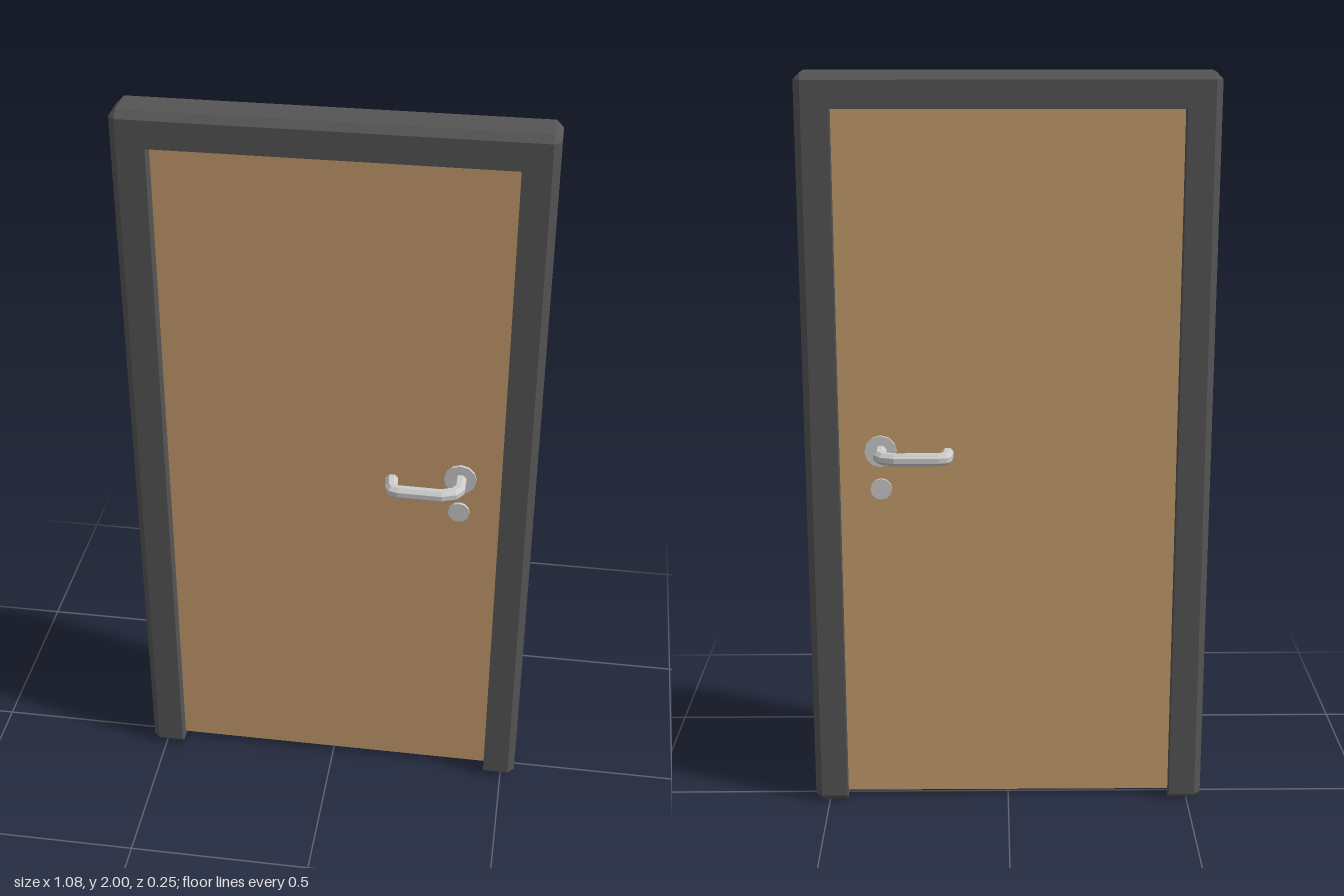
import * as THREE from 'three';

const material = (color) => new THREE.MeshStandardMaterial({ color, flatShading: true });

function addMesh(parent, name, geometry, mat) {
  const mesh = new THREE.Mesh(geometry, mat);
  mesh.name = name;
  parent.add(mesh);
  return mesh;
}

// Skin a series of rings (counter-clockwise about the direction of advance) and cap both ends
function loft(rings, capTriangles) {
  const out = [];
  const push = (...points) => points.forEach((p) => out.push(p.x, p.y, p.z));
  for (let j = 0; j < rings.length - 1; j++) {
    const low = rings[j], high = rings[j + 1], n = low.length;
    for (let i = 0; i < n; i++) {
      const k = (i + 1) % n;
      push(low[i], low[k], high[k], low[i], high[k], high[i]);
    }
  }
  const first = rings[0], last = rings[rings.length - 1];
  for (const [a, b, c] of capTriangles) {
    push(last[a], last[b], last[c]);
    push(first[a], first[c], first[b]);
  }
  const geometry = new THREE.BufferGeometry();
  geometry.setAttribute('position', new THREE.Float32BufferAttribute(out, 3));
  geometry.computeVertexNormals();
  return geometry;
}

// Door surround: an inverted U with chamfered outer edges and a sharp opening
function frameGeometry() {
  const w = 0.539, h = 2, d = 0.062, c = 0.018, inner = 0.45, head = 1.91;
  const outline = [
    [-inner, 0], [-inner, head], [inner, head], [inner, 0],
    [w - c, 0], [w, c], [w, h - c], [w - c, h],
    [c - w, h], [-w, h - c], [-w, c], [c - w, 0],
  ];
  const full = (z) => outline.map(([x, y]) => new THREE.Vector3(x, y, z));
  const inset = (z) => outline.map(([x, y]) => new THREE.Vector3(
    THREE.MathUtils.clamp(x, c - w, w - c), THREE.MathUtils.clamp(y, c, h - c), z));
  const caps = [[3, 4, 6], [3, 6, 2], [2, 6, 8], [2, 8, 1], [1, 8, 10], [1, 10, 0]];
  return loft([inset(-d), full(c - d), full(d - c), inset(d)], caps);
}

// Lever: eight-sided bar swept with mitred corners along a path in the x-z plane
function leverGeometry(path, radius, sides = 8) {
  const points = path.map(([x, z]) => new THREE.Vector3(x, 0, z));
  const up = new THREE.Vector3(0, 1, 0);
  const direction = (i) => points[i + 1].clone().sub(points[i]).normalize();
  const rings = points.map((p, i) => {
    const before = direction(Math.max(i - 1, 0));
    const after = direction(Math.min(i, points.length - 2));
    const tangent = before.clone().add(after).normalize();
    const side = up.clone().cross(tangent).divideScalar(tangent.dot(after));
    return Array.from({ length: sides }, (_, k) => {
      const a = ((k + 0.5) / sides) * Math.PI * 2;
      return p.clone()
        .addScaledVector(side, radius * Math.cos(a))
        .addScaledVector(up, radius * Math.sin(a));
    });
  });
  const caps = Array.from({ length: sides - 2 }, (_, k) => [0, k + 1, k + 2]);
  return loft(rings, caps);
}

export function createModel() {
  const model = new THREE.Group();
  model.name = 'door';
  const dark = material(0x555555);
  const wood = material(0xc69c6d);
  const metal = material(0xc0c0c0);

  const doorDepth = 0.04, face = doorDepth / 2, plate = 0.008;
  const handleX = 0.34, handleY = 1.01, lockY = 0.905;

  addMesh(model, 'frame', frameGeometry(), dark);

  // Leaf, held just clear of the floor
  const bottom = 0.015, top = 1.91;
  addMesh(model, 'leaf', new THREE.BoxGeometry(0.9, top - bottom, doorDepth), wood)
    .position.y = (top + bottom) / 2;

  // Handle and lock plate on each face
  const leverPath = [
    [0, face], [0, 0.077], [-0.012, 0.095], [-0.043, 0.107],
    [-0.155, 0.105], [-0.17, 0.101], [-0.176, 0.09], [-0.179, 0.05],
  ];
  const lever = leverGeometry(leverPath, 0.0175);
  const disc = (radius) => new THREE.CylinderGeometry(radius, radius, plate, 12).rotateX(Math.PI / 2);
  for (const [label, s] of [['front', 1], ['back', -1]]) {
    const handle = new THREE.Group();
    handle.name = label + 'Handle';
    handle.position.set(handleX, handleY, 0);
    if (s < 0) handle.rotation.x = Math.PI;
    addMesh(handle, 'lever', lever, metal);
    addMesh(handle, 'rose', disc(0.043), metal).position.z = face + plate / 2;
    model.add(handle);
    addMesh(model, label + 'LockPlate', disc(0.029), metal)
      .position.set(handleX, lockY, s * (face + plate / 2));
  }
  return model;
}
